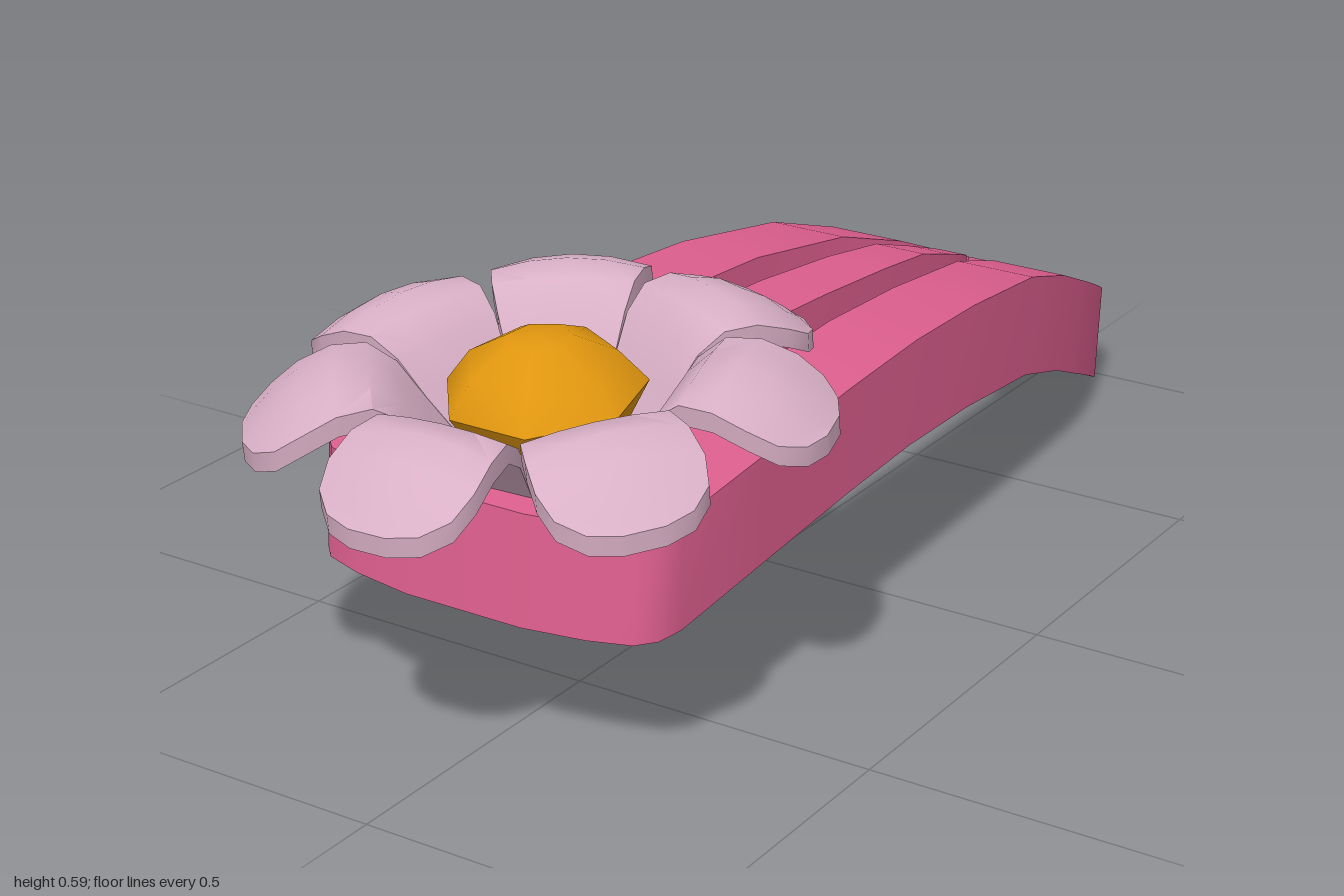
import * as THREE from 'three';
import { mergeGeometries, toCreasedNormals } from 'three/addons/utils/BufferGeometryUtils.js';

// Skin closed rings (top edge left to right, then bottom edge right to left) that advance along +z
function loft(rings) {
  const n = rings[0].length, pos = [], idx = [];
  rings.forEach(r => r.forEach(p => pos.push(...p)));
  for (let i = 0; i < rings.length - 1; i++) {
    for (let k = 0; k < n; k++) {
      const a = i * n + k, b = i * n + (k + 1) % n;
      idx.push(a, a + n, b + n, a, b + n, b);
    }
  }
  // End caps, strip by strip between top and bottom edges
  const last = (rings.length - 1) * n;
  for (let k = 0; k < n / 2 - 1; k++) {
    const a = k, b = k + 1, c = n - 2 - k, d = n - 1 - k;
    idx.push(a, b, c, a, c, d);
    idx.push(last + a, last + c, last + b, last + a, last + d, last + c);
  }
  const g = new THREE.BufferGeometry();
  g.setAttribute('position', new THREE.Float32BufferAttribute(pos, 3));
  g.setIndex(idx);
  return g;
}

// Clip stations: z, outer half width, top height, slot half width
const STATIONS = [
  [-1, 0.05, 0.17, 0], [-0.98, 0.105, 0.179, 0], [-0.93, 0.135, 0.2, 0], [-0.86, 0.16, 0.232, 0],
  [-0.76, 0.19, 0.276, 0.045], [-0.72, 0.2, 0.293, 0.062], [-0.6, 0.226, 0.345, 0.09],
  [-0.44, 0.25, 0.397, 0.11], [-0.2, 0.274, 0.43, 0.128], [0, 0.285, 0.44, 0.132],
  [0.2, 0.292, 0.434, 0.135], [0.45, 0.297, 0.417, 0.135],
  [0.65, 0.3, 0.402, 0], [0.69, 0.29, 0.399, 0], [0.715, 0.265, 0.397, 0], [0.735, 0.2, 0.396, 0], [0.75, 0.1, 0.395, 0],
];
const SLOT_START = 4, SLOT_END = 11;

function topHeight(z) {
  let i = 0;
  while (i < STATIONS.length - 2 && STATIONS[i + 1][0] < z) i++;
  const a = STATIONS[i], b = STATIONS[i + 1];
  return THREE.MathUtils.lerp(a[2], b[2], (z - a[0]) / (b[0] - a[0]));
}

function slab(z, xl, xr, y, t) {
  const zb = z + 0.09 * t;
  return [[xl, y, z], [xr, y, z], [xr, y - t, zb], [xl, y - t, zb]];
}

function clipGeometry() {
  const t = 0.167;
  const full = s => slab(s[0], -s[1], s[1], s[2], t);
  const rail = STATIONS.slice(SLOT_START, SLOT_END + 1);
  const parts = [
    loft(STATIONS.slice(0, SLOT_START + 1).map(full)),
    loft(STATIONS.slice(SLOT_END).map(full)),
    loft(rail.map(s => slab(s[0], s[3], s[1], s[2], t))),
    loft(rail.map(s => slab(s[0], -s[1], -s[3], s[2], t))),
  ];
  return toCreasedNormals(mergeGeometries(parts), 0.7);
}

// Thin spring tongue inside the slot: z, half width
function tongueGeometry() {
  const rows = [[-0.64, 0.015], [-0.62, 0.028], [-0.54, 0.038], [-0.44, 0.046], [-0.3, 0.054],
    [-0.1, 0.06], [0, 0.06], [0.2, 0.062], [0.46, 0.064]];
  return toCreasedNormals(loft(rows.map(([z, w]) => slab(z, -w, w, topHeight(z), 0.1))), 0.7);
}

// Petal rising from the flower base, arching over and drooping: radius, half width, height, edge droop
function petalGeometry() {
  const rows = [[0, 0.01, 0, 0], [0.13, 0.062, 0.01, 0], [0.165, 0.079, 0.06, 0], [0.2, 0.094, 0.115, 0],
    [0.24, 0.106, 0.152, 0.008], [0.29, 0.115, 0.16, 0.018], [0.34, 0.119, 0.143, 0.022],
    [0.38, 0.108, 0.117, 0.02], [0.41, 0.075, 0.092, 0.01], [0.425, 0.03, 0.078, 0]];
  const us = [-1, -0.5, 0, 0.5, 1];
  const rings = rows.map(([r, w, y, d]) => {
    const top = us.map(u => [u * w, y - d * u * u, r]);
    const bottom = [...top].reverse().map(([x, yy, z]) => [x, yy - 0.03, z]);
    return [...top, ...bottom];
  });
  return toCreasedNormals(loft(rings), 0.7);
}

export function createModel() {
  const clipPink = new THREE.MeshStandardMaterial({ color: 0xde5f8e });
  clipPink.name = 'clip pink';
  const petalPink = new THREE.MeshStandardMaterial({ color: 0xd9b0c6 });
  petalPink.name = 'petal pale pink';
  const centreYellow = new THREE.MeshStandardMaterial({ color: 0xe0960f });
  centreYellow.name = 'flower centre yellow';

  const model = new THREE.Group();
  model.name = 'hairClip';
  const add = (parent, name, geometry, material) => {
    const mesh = new THREE.Mesh(geometry, material);
    mesh.name = name;
    parent.add(mesh);
    return mesh;
  };

  // Clip body
  add(model, 'clipFrame', clipGeometry(), clipPink).position.x = -0.006;
  add(model, 'clipTongue', tongueGeometry(), clipPink).position.x = -0.006;

  // Flower, tilted with the slope of the clip
  const flower = new THREE.Group();
  flower.name = 'flower';
  flower.position.set(0, 0.405, 0.56);
  flower.rotation.x = 0.1;
  model.add(flower);
  const petal = petalGeometry();
  for (let i = 0; i < 7; i++) {
    add(flower, 'petal' + (i + 1), petal, petalPink).rotation.y = 0.04 + i * Math.PI * 2 / 7;
  }

  // Faceted dome
  const dome = [[0.11, 0.02], [0.15, 0.09], [0.11, 0.14], [0.05, 0.171], [0, 0.174]]
    .map(([x, y]) => new THREE.Vector2(x, y));
  const domeGeometry = new THREE.LatheGeometry(dome, 7, Math.PI);
  add(flower, 'flowerCentre', toCreasedNormals(domeGeometry, 1), centreYellow);

  return model;
}
